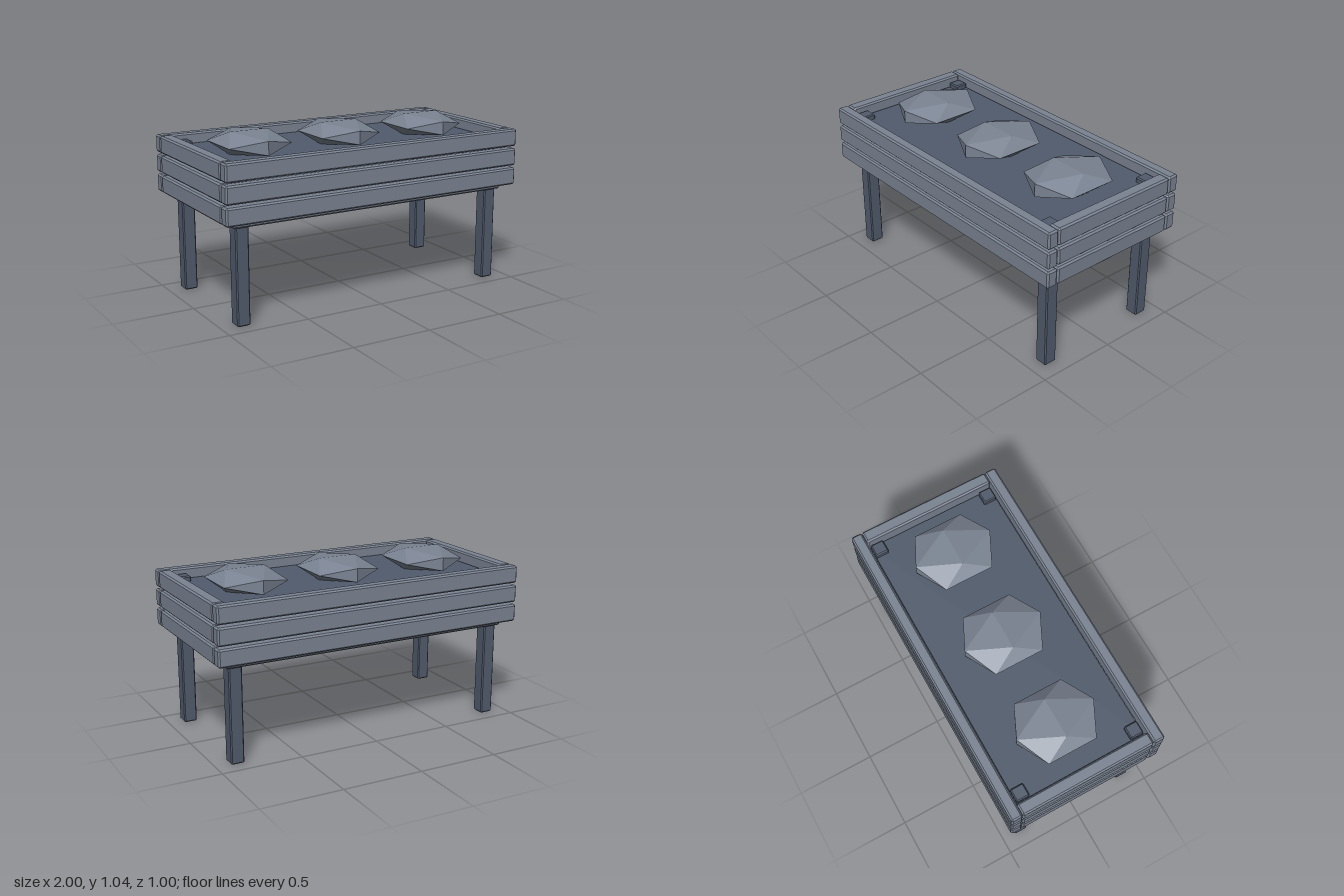
import * as THREE from 'three';
import { ConvexGeometry } from 'three/addons/geometries/ConvexGeometry.js';

const light = new THREE.MeshStandardMaterial({ color: 0x7a8392, flatShading: true });
const dark = new THREE.MeshStandardMaterial({ color: 0x515b6c, flatShading: true });

// Box with chamfered edges: each corner becomes three points
function chamferBox(w, h, d, b) {
  const points = [];
  for (const sx of [-1, 1]) for (const sy of [-1, 1]) for (const sz of [-1, 1]) {
    const x = w / 2, y = h / 2, z = d / 2;
    points.push(
      new THREE.Vector3(sx * x, sy * (y - b), sz * (z - b)),
      new THREE.Vector3(sx * (x - b), sy * y, sz * (z - b)),
      new THREE.Vector3(sx * (x - b), sy * (y - b), sz * z)
    );
  }
  return new ConvexGeometry(points);
}

function add(parent, name, geometry, material, x, y, z) {
  const mesh = new THREE.Mesh(geometry, material);
  mesh.name = name;
  mesh.position.set(x, y, z);
  parent.add(mesh);
  return mesh;
}

export function createModel() {
  const model = new THREE.Group();
  model.name = 'raisedPlanter';

  // Three tiers of slats: long ones front and back, short ones between them
  const slats = new THREE.Group();
  slats.name = 'slats';
  model.add(slats);
  const longSlat = chamferBox(2, 0.108, 0.071, 0.01);
  const shortSlat = chamferBox(0.078, 0.108, 0.854, 0.01);
  for (const y of [0.671, 0.794, 0.917]) {
    for (const s of [-1, 1]) {
      add(slats, s > 0 ? 'frontSlat' : 'backSlat', longSlat, light, 0, y, s * 0.4645);
      add(slats, s > 0 ? 'leftSlat' : 'rightSlat', shortSlat, light, s * 0.961, y, 0);
    }
  }

  // Legs run from the ground to just above the soil
  const leg = chamferBox(0.082, 0.94, 0.084, 0.007);
  for (const x of [-0.868, 0.868]) for (const z of [-0.375, 0.375]) {
    add(model, 'leg', leg, dark, x, 0.47, z);
  }

  // Base board under the slats and the soil sheet near the rim
  add(model, 'baseBoard', chamferBox(1.865, 0.045, 0.88, 0.01), light, 0, 0.6075, 0);
  add(model, 'soil', new THREE.BoxGeometry(1.82, 0.04, 0.835), dark, 0, 0.888, 0);

  // Faceted plants: squashed icosahedra
  const plant = new THREE.IcosahedronGeometry(1, 0).scale(0.238, 0.08, 0.297);
  for (const x of [-0.612, 0, 0.612]) add(model, 'plant', plant, light, x, 0.972, 0);

  return model;
}
